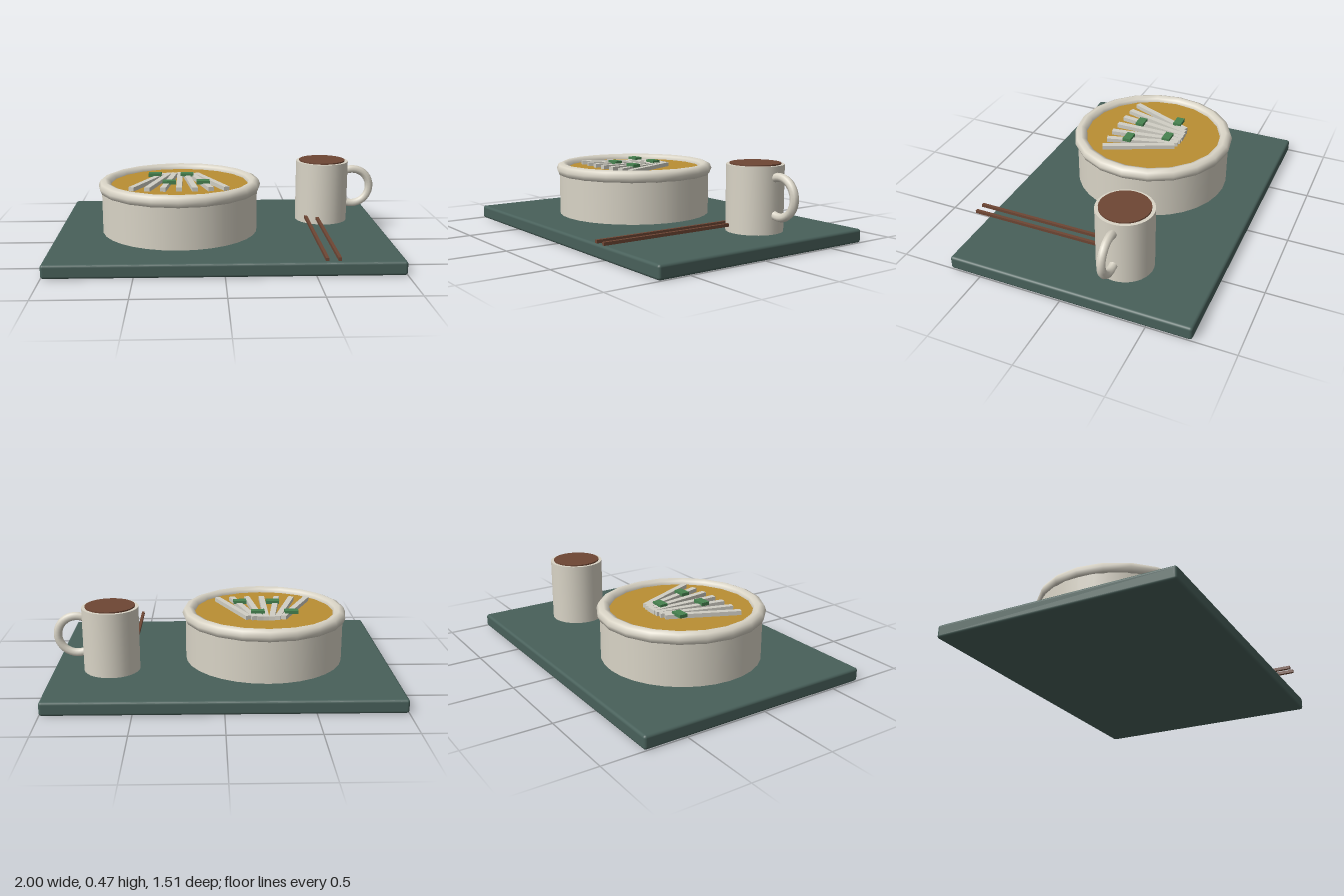
import * as THREE from 'three';
import { RoundedBoxGeometry } from 'three/addons/geometries/RoundedBoxGeometry.js';

const mat = (name, color) => Object.assign(new THREE.MeshStandardMaterial({ color }), { name });

export function createModel() {
  const green = mat('trayGreen', 0x48605a);
  const cream = mat('ceramicCream', 0xd9d4c6);
  const broth = mat('brothOchre', 0xba8e33);
  const brown = mat('woodBrown', 0x6e4634);
  const pale = mat('noodleWhite', 0xd0cec4);
  const leaf = mat('leafGreen', 0x478350);

  const model = new THREE.Group();
  model.name = 'mealTray';
  const add = (parent, name, geometry, material, x, y, z) => {
    const mesh = new THREE.Mesh(geometry, material);
    mesh.name = name;
    mesh.position.set(x, y, z);
    parent.add(mesh);
    return mesh;
  };
  const group = (name, x, z) => {
    const g = new THREE.Group();
    g.name = name;
    g.position.set(x, 0, z);
    model.add(g);
    return g;
  };

  // Tray with softly rounded edges
  add(model, 'tray', new RoundedBoxGeometry(2, 0.08, 1.445, 3, 0.016), green, 0, 0.04, -0.032);

  // Bowl: straight wall, thick rolled rim, broth surface
  const bowl = group('bowl', -0.255, -0.03);
  add(bowl, 'bowlWall', new THREE.CylinderGeometry(0.477, 0.477, 0.27, 32), cream, 0, 0.215, 0);
  const rim = add(bowl, 'bowlRim', new THREE.TorusGeometry(0.457, 0.04, 8, 20), cream, 0, 0.36, 0);
  rim.rotation.x = Math.PI / 2;
  add(bowl, 'broth', new THREE.CylinderGeometry(0.44, 0.44, 0.02, 32), broth, 0, 0.358, 0);

  // Noodles fanned toward the front
  for (let i = -3; i <= 3; i++) {
    const noodle = add(bowl, 'noodle', new THREE.BoxGeometry(0.034, 0.025, 0.44), pale,
      i * 0.064, 0.38, 0.02);
    noodle.rotation.y = i * 0.14;
  }

  // Chopped greens lying on the noodles
  for (const [x, z] of [[-0.155, -0.115], [0.045, -0.115], [-0.06, 0.105], [0.143, 0.105]]) {
    add(bowl, 'greenPiece', new THREE.BoxGeometry(0.08, 0.02, 0.05), leaf, x, 0.397, z);
  }

  // Mug with its drink and a C-shaped handle
  const mug = group('mug', 0.655, -0.237);
  add(mug, 'mugBody', new THREE.CylinderGeometry(0.165, 0.165, 0.382, 32), cream, 0, 0.271, 0);
  add(mug, 'drink', new THREE.CylinderGeometry(0.145, 0.145, 0.02, 32), brown, 0, 0.46, 0);
  const arc = Math.PI * 1.3;
  const handle = add(mug, 'mugHandle', new THREE.TorusGeometry(0.112, 0.025, 8, 24, arc), cream,
    0.198, 0.293, 0);
  handle.rotation.z = -arc / 2;

  // Pair of chopsticks
  for (const x of [0.543, 0.611]) {
    add(model, 'chopstick', new THREE.BoxGeometry(0.018, 0.018, 0.9), brown, x, 0.12, 0.305);
  }

  return model;
}
